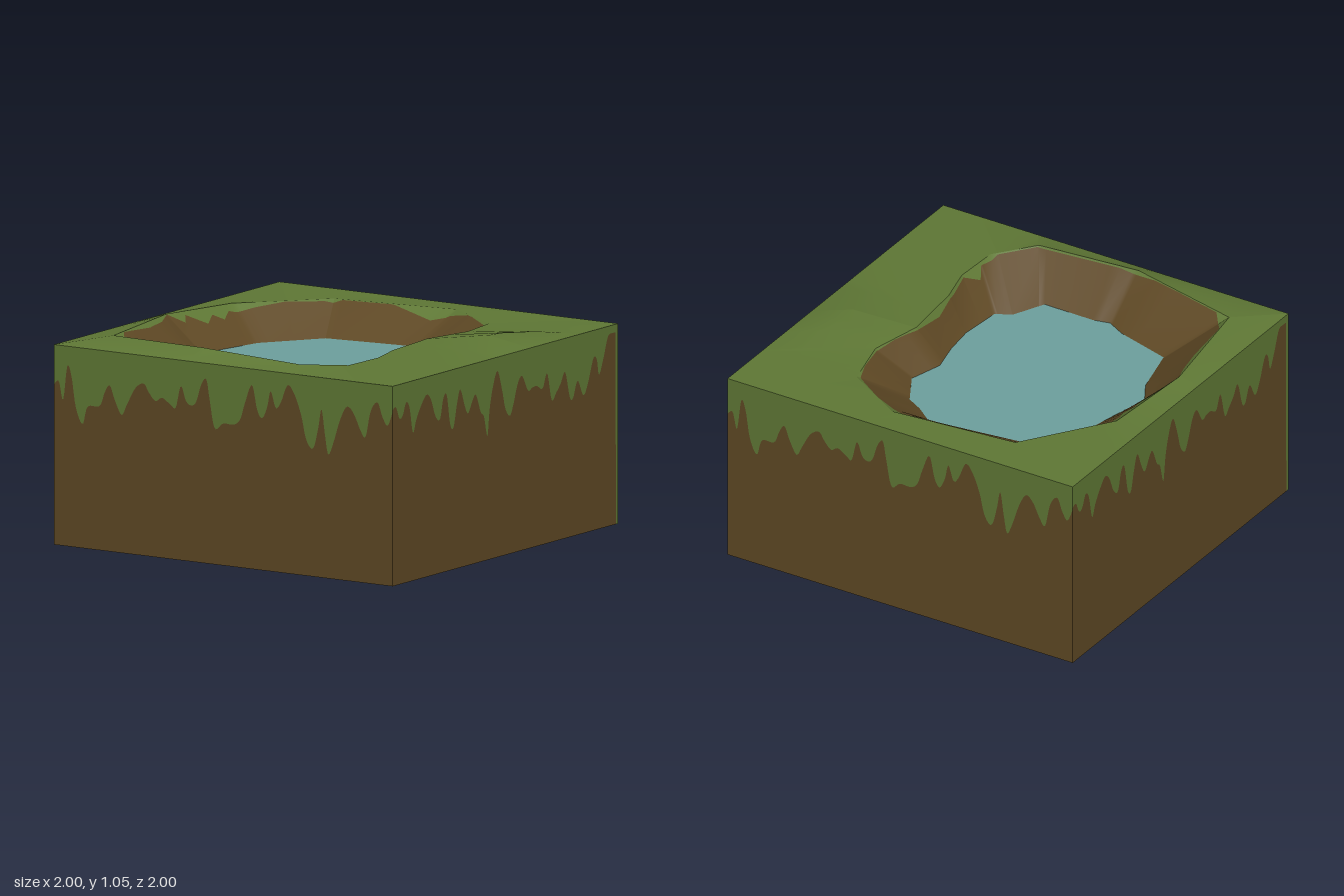
import * as THREE from 'three';

const mat = (name, color) => {
  const m = new THREE.MeshStandardMaterial({ color, side: THREE.DoubleSide });
  m.name = name;
  return m;
};

// Lower edge of the grass on the walls: [across, height]
const dripsA = [
  [-1, .80], [-.97, .82], [-.945, .73], [-.92, .90], [-.895, .85], [-.87, .70], [-.83, .62], [-.80, .71],
  [-.73, .72], [-.70, .79], [-.67, .83], [-.64, .76], [-.60, .69], [-.57, .74], [-.52, .83], [-.47, .86],
  [-.44, .82], [-.40, .78], [-.36, .80], [-.31, .77], [-.28, .76], [-.25, .87], [-.22, .80], [-.19, .78],
  [-.16, .80], [-.13, .89], [-.10, .92], [-.08, .82], [-.05, .68], [0, .71], [.06, .71], [.10, .74],
  [.13, .83], [.17, .92], [.20, .80], [.23, .76], [.26, .82], [.28, .90], [.31, .82], [.34, .85],
  [.38, .94], [.42, .90], [.46, .80], [.49, .68], [.53, .64], [.56, .74], [.58, .84], [.60, .72],
  [.62, .62], [.65, .68], [.69, .80], [.73, .87], [.77, .84], [.81, .76], [.84, .73], [.87, .86],
  [.91, .91], [.94, .84], [.97, .80], [1, .87],
];
const dripsB = [
  [-1, .88], [-.97, .89], [-.94, .83], [-.91, .84], [-.88, .90], [-.85, .87], [-.82, .74], [-.79, .80],
  [-.75, .86], [-.70, .91], [-.66, .88], [-.62, .79], [-.58, .77], [-.55, .87], [-.52, .88], [-.49, .73],
  [-.46, .71], [-.43, .82], [-.40, .89], [-.36, .80], [-.33, .76], [-.29, .82], [-.26, .84], [-.22, .75],
  [-.19, .72], [-.16, .62], [-.14, .75], [-.11, .86], [-.07, .93], [-.03, .83], [0, .73], [.04, .69],
  [.07, .74], [.11, .84], [.15, .87], [.20, .79], [.24, .80], [.28, .80], [.33, .78], [.37, .85],
  [.41, .71], [.45, .74], [.49, .78], [.53, .83], [.57, .70], [.60, .69], [.64, .77], [.69, .69],
  [.73, .74], [.78, .86], [.81, .85], [.83, .77], [.87, .85], [.91, .95], [.95, .96], [.975, .96],
];

// Pit outlines: [x, z, y]
const rimLine = [
  [-.90, .15, 1.03], [-.80, .77, 1.03], [-.20, .89, 1.052], [.37, .88, 1.025], [.54, .70, 1.01],
  [.55, .45, 1.01], [.50, .25, 1.01], [.47, -.10, 1.01], [.53, -.38, 1.01], [.47, -.65, 1],
  [.14, -.85, 1.005], [-.53, -.78, 1], [-.85, -.35, 1.01],
];
const soilLine = [
  [-.48, -.78], [-.20, -.81], [.05, -.76], [.14, -.80], [.27, -.78], [.46, -.63], [.50, -.52], [.52, -.38],
  [.50, -.25], [.46, -.10], [.46, .10], [.50, .30], [.54, .45], [.49, .53], [.53, .60], [.51, .72],
  [.37, .87], [-.10, .88], [-.45, .85], [-.72, .78], [-.82, .66], [-.83, .40], [-.86, .25], [-.90, .15],
  [-.84, .07], [-.87, .03], [-.80, -.07], [-.83, -.15], [-.79, -.20], [-.82, -.28], [-.76, -.42],
  [-.68, -.57], [-.55, -.73],
];
const shoreLine = [
  [-.42, -.54], [-.03, -.59], [.09, -.60], [.18, -.53], [.27, -.48], [.37, -.30], [.32, -.12], [.36, .05],
  [.38, .22], [.36, .45], [.28, .49], [.20, .66], [-.08, .655], [-.17, .675], [-.27, .62], [-.57, .53],
  [-.64, .25], [-.71, .13], [-.63, -.25],
];
const squareLine = [[-1, -1], [1, -1], [1, 1], [-1, 1]];
const CX = -.16, CZ = .04, WATER = .85, FLOOR = .73;

// Distance and height where a ray from the pit centre leaves an outline
function cast(line, angle) {
  const dx = Math.cos(angle), dz = Math.sin(angle);
  let best = { r: 0, y: 1 };
  line.forEach((p, i) => {
    const q = line[(i + 1) % line.length];
    const px = p[0] - CX, pz = p[1] - CZ, ex = q[0] - p[0], ez = q[1] - p[1];
    const d = dx * ez - dz * ex;
    if (Math.abs(d) < 1e-9) return;
    const r = (px * ez - pz * ex) / d, t = (px * dz - pz * dx) / d;
    if (t >= -1e-6 && t <= 1 + 1e-6 && r > best.r) {
      best = { r, y: p.length > 2 ? p[2] + (q[2] - p[2]) * t : 1 };
    }
  });
  return best;
}

// Surface lofted through closed rings, from the outside inwards
function loft(rings) {
  const n = rings[0].length, index = [];
  for (let k = 0; k + 1 < rings.length; k++) {
    for (let i = 0; i < n; i++) {
      const a = k * n + i, b = k * n + (i + 1) % n;
      index.push(a, a + n, b, b, a + n, b + n);
    }
  }
  const g = new THREE.BufferGeometry();
  g.setAttribute('position', new THREE.Float32BufferAttribute(rings.flat(2), 3));
  g.setIndex(index);
  g.computeVertexNormals();
  return g;
}

export function createModel() {
  const model = new THREE.Group();
  model.name = 'pondBlock';
  const grass = mat('grass', 0x5f7835), soil = mat('soil', 0x5e4824), water = mat('water', 0x6da09e);
  const add = (name, geometry, material, parent = model) => {
    const mesh = new THREE.Mesh(geometry, material);
    mesh.name = name;
    parent.add(mesh);
    return mesh;
  };

  // Four walls, each split into grass and soil along the drips
  const wall = (name, drips, end, turn) => {
    const group = new THREE.Group();
    group.name = name;
    group.rotation.y = turn;
    const edge = new THREE.SplineCurve(drips.map(p => new THREE.Vector2(...p))).getPoints(260);
    const shape = extra => new THREE.ShapeGeometry(
      new THREE.Shape([...edge, ...extra.map(p => new THREE.Vector2(...p))]));
    const strip = end < 1 ? [[end, 0], [1, 0]] : [];
    add(name + 'Grass', shape([...strip, [1, 1], [-1, 1]]), grass, group).position.z = 1;
    add(name + 'Soil', shape([[end, 0], [-1, 0]]), soil, group).position.z = 1;
    model.add(group);
  };
  wall('frontWall', dripsA, 1, 0);
  wall('rightWall', dripsB, .98, Math.PI / 2);
  wall('backWall', dripsA, 1, Math.PI);
  wall('leftWall', dripsB, .98, -Math.PI / 2);

  // Angles passing through every outline corner
  const angles = [rimLine, soilLine, shoreLine, squareLine].flat()
    .map(p => Math.atan2(p[1] - CZ, p[0] - CX)).sort((a, b) => a - b)
    .filter((a, i, list) => i === 0 || a - list[i - 1] > 1e-4);

  // Rings of the ground and pit
  const outer = [], slope = [], rim = [], lip = [], shore = [], floor = [], centre = [];
  for (const a of angles) {
    const at = (r, y) => [CX + r * Math.cos(a), y, CZ + r * Math.sin(a)];
    const R = cast(rimLine, a), S = cast(shoreLine, a).r, O = cast(squareLine, a).r;
    const L = Math.min(cast(soilLine, a).r, R.r - .004);
    outer.push(at(O, 1));
    const mid = at(R.r + (O - R.r) * .6, 1 + (R.y - 1) * .4);
    // low mound beside the pit
    if (mid[0] > .6) mid[1] += .05 * Math.max(0, 1 - Math.abs(mid[2] + .21) / .4);
    slope.push(mid);
    rim.push(at(R.r, R.y));
    lip.push(at(L, R.y + (WATER - R.y) * (R.r - L) / (R.r - S)));
    shore.push(at(S, WATER));
    floor.push(at(S * .65, FLOOR));
    centre.push(at(0, FLOOR));
  }
  add('ground', loft([outer, slope, rim]), grass);
  add('pitGrassEdge', loft([rim, lip]), grass);
  add('pitWall', loft([lip, shore, floor]), soil);
  add('pitFloor', loft([floor, centre]), soil);

  // Water sheet running on under the ground
  const sheet = new THREE.PlaneGeometry(1.18, 1.3).rotateX(-Math.PI / 2);
  add('waterSurface', sheet, water).position.set(-.13, WATER, .025);
  return model;
}
